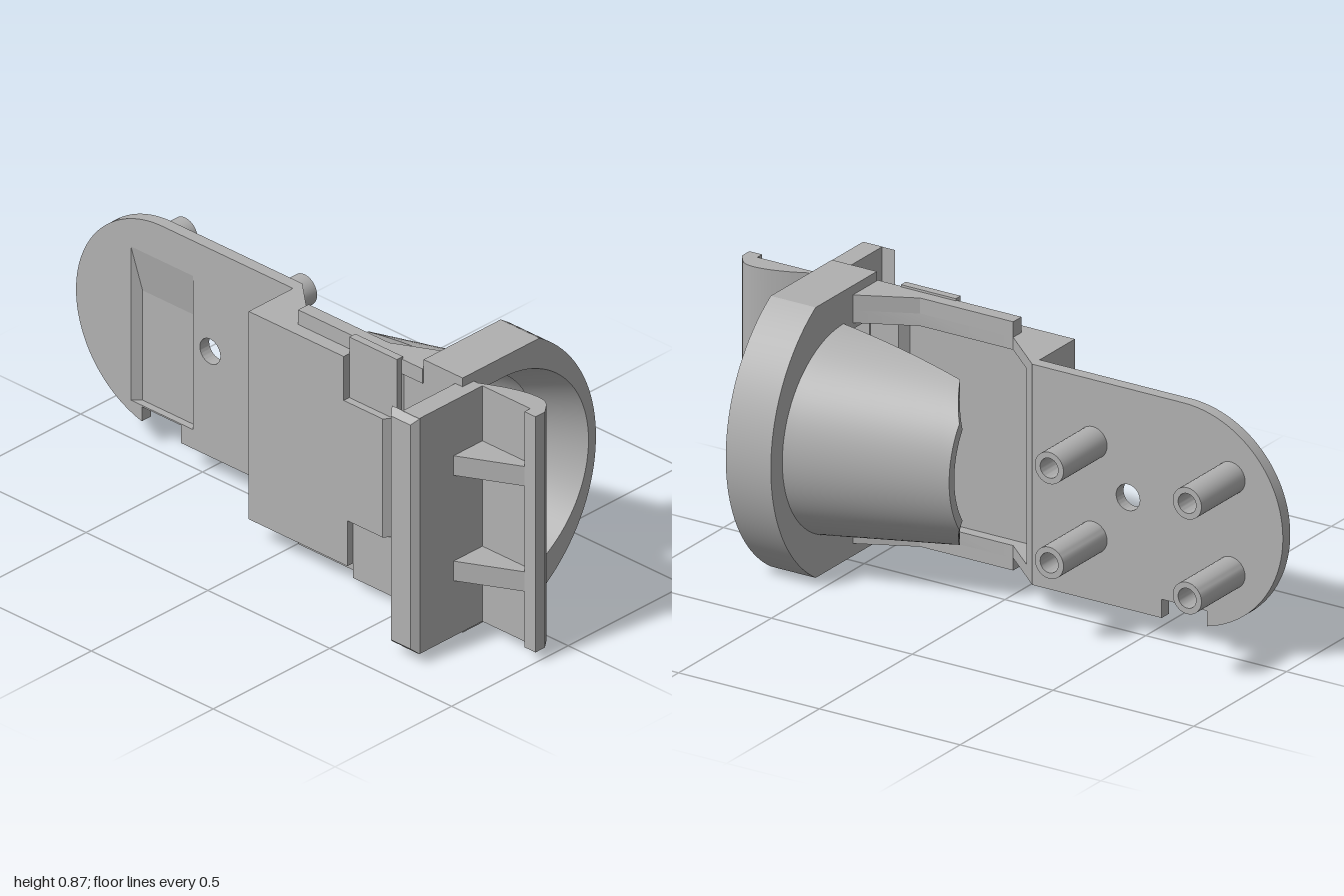
import * as THREE from 'three';
import { toCreasedNormals } from 'three/addons/utils/BufferGeometryUtils.js';

const MID = 0.435; // height of the long axis

export function createModel() {
  const model = new THREE.Group();
  model.name = 'bracket';
  const grey = new THREE.MeshStandardMaterial({ color: 0xb0b0b0, side: THREE.DoubleSide });
  grey.name = 'plain grey';

  const add = (name, geometry) => {
    const mesh = new THREE.Mesh(toCreasedNormals(geometry, 0.5), grey);
    mesh.name = name;
    model.add(mesh);
    return mesh;
  };
  const extrude = (shape, depth) =>
    new THREE.ExtrudeGeometry(shape, { depth, bevelEnabled: false, curveSegments: 40 });
  const polygon = (pts) => new THREE.Shape(pts.map(([x, y]) => new THREE.Vector2(x, y)));
  // Plan outline of [x, z] points, raised from y0 to y1
  const plan = (name, pts, y0, y1) =>
    add(name, extrude(polygon(pts.map(([x, z]) => [x, -z])), y1 - y0).rotateX(-Math.PI / 2).translate(0, y0, 0));
  const box = (name, x0, x1, y0, y1, z0, z1) =>
    add(name, new THREE.BoxGeometry(x1 - x0, y1 - y0, z1 - z0)
      .translate((x0 + x1) / 2, (y0 + y1) / 2, (z0 + z1) / 2));

  // Round-ended mounting plate in two layers, the front one with a recess
  const plateShape = () => {
    const s = new THREE.Shape();
    s.moveTo(-0.11, 0.08);
    s.lineTo(-0.11, 0.79);
    s.lineTo(-0.645, 0.79);
    s.absarc(-0.645, MID, 0.355, Math.PI / 2, 4.47, false);
    s.lineTo(-0.73, 0.14);
    s.lineTo(-0.57, 0.14);
    s.lineTo(-0.57, 0.08);
    s.closePath();
    const hole = new THREE.Path();
    hole.absarc(-0.45, 0.44, 0.042, 0, Math.PI * 2, true);
    s.holes.push(hole);
    return s;
  };
  add('plateBack', extrude(plateShape(), 0.016).translate(0, 0, -0.02));
  const front = plateShape();
  front.holes.push(new THREE.Path([
    [-0.775, 0.145], [-0.775, 0.67], [-0.52, 0.67], [-0.52, 0.145],
  ].map(([x, y]) => new THREE.Vector2(x, y))));
  add('plateFront', extrude(front, 0.024).translate(0, 0, -0.004));

  // Sloping top and sides of the recess
  add('recessRamp', extrude(polygon([[0.004, 0.52], [-0.02, 0.67], [0.004, 0.67]]), 0.255)
    .rotateY(Math.PI / 2).translate(-0.775, 0, 0));
  plan('recessSideRight', [[-0.775, 0.02], [-0.75, -0.004], [-0.775, -0.004]], 0.145, 0.67);
  plan('recessSideLeft', [[-0.52, 0.02], [-0.535, -0.004], [-0.52, -0.004]], 0.145, 0.67);

  // Hollow pegs on the back
  for (const x of [-0.815, -0.325]) {
    for (const y of [0.283, 0.588]) {
      const profile = [[0.051, 0], [0.051, 0.237], [0.032, 0.237], [0.032, 0.02], [0, 0.02]]
        .map(([r, h]) => new THREE.Vector2(r, h));
      add('peg', new THREE.LatheGeometry(profile, 32).rotateX(-Math.PI / 2).translate(x, y, -0.018));
    }
  }

  // Open-backed tray: side walls, sloped end wall and floor
  const wall = [[-0.11, -0.02], [0.05, 0.12], [0.38, 0.12], [0.56, 0.03], [0.56, 0.16],
    [0.48, 0.16], [0.455, 0.185], [-0.11, 0.185]];
  plan('trayWallLower', wall, 0.08, 0.12);
  plan('trayWallUpper', wall, 0.75, 0.79);
  plan('trayEndWall', [[-0.11, -0.02], [-0.06, 0.024], [-0.06, 0.185], [-0.11, 0.185]], 0.12, 0.75);
  plan('trayFloor', [[-0.06, 0.155], [0.44, 0.155], [0.46, 0.125], [0.6, 0.125], [0.6, 0.16],
    [0.48, 0.16], [0.455, 0.185], [-0.06, 0.185]], 0.12, 0.75);

  // Raised front face, cut away at two corner pockets
  add('trayFace', extrude(polygon([[-0.11, 0.08], [0.295, 0.08], [0.295, 0.235], [0.44, 0.235],
    [0.44, 0.64], [0.28, 0.64], [0.28, 0.79], [-0.11, 0.79]]), 0.025).translate(0, 0, 0.185));
  plan('faceChamfer', [[0.44, 0.21], [0.48, 0.16], [0.44, 0.16]], 0.235, 0.64);

  // Side rails, pocket floors and wide neck
  for (const [y0, y1] of [[0.04, 0.08], [0.79, 0.84]]) {
    box('sideRail', 0.05, 0.56, y0, y1, 0.12, 0.165);
    plan('railRise', [[0.38, 0.12], [0.56, 0.03], [0.56, 0.12]], y0, y1);
  }
  box('pocketFloorUpper', 0.28, 0.475, 0.64, 0.847, 0.16, 0.186);
  box('pocketFloorLower', 0.295, 0.475, 0.03, 0.235, 0.16, 0.186);

  // D-shaped ring whose opening narrows towards the cone
  const ring = new THREE.Shape();
  const a = Math.atan2(0.435, 0.27);
  ring.moveTo(-0.16, 0);
  ring.lineTo(0.17, 0);
  ring.absarc(-0.1, MID, 0.512, -a, a, false);
  ring.lineTo(-0.16, 0.87);
  ring.closePath();
  const opening = new THREE.Path();
  opening.moveTo(-0.12, MID - 0.365);
  opening.lineTo(0.015, MID - 0.365);
  opening.absarc(0.015, MID, 0.365, -Math.PI / 2, Math.PI / 2, false);
  opening.lineTo(-0.12, MID + 0.365);
  opening.closePath();
  ring.holes.push(opening);
  const ringGeo = extrude(ring, 0.16).rotateY(Math.PI / 2).translate(0.56, 0, 0);
  const p = ringGeo.attributes.position;
  for (let i = 0; i < p.count; i++) {
    const dy = p.getY(i) - MID, dz = Math.min(p.getZ(i) + 0.015, 0);
    if (p.getX(i) < 0.6 && p.getZ(i) < 0.13 && Math.hypot(dy, dz) < 0.37) {
      const k = 0.295 / 0.365;
      p.setY(i, MID + dy * k);
      if (dz < 0) p.setZ(i, -0.015 + dz * k);
    }
  }
  add('ring', ringGeo);

  // Tapered half-cone shell behind the ring
  const N = 40, M = 12, pos = [], idx = [];
  const ringSize = 2 * (N + 1);
  for (let j = 0; j <= M; j++) {
    for (let k = 0; k < ringSize; k++) {
      const inner = k > N;
      const s = ((inner ? ringSize - 1 - k : k) / N) * 2 - 1;
      const xEnd = 0.06 + 0.06 * Math.max(0, (Math.abs(s) - 0.6) / 0.4);
      const x = xEnd + (j / M) * (0.565 - xEnd);
      const f = (0.56 - x) / 0.5;
      const centre = -0.02 + 0.1 * f, r = 0.33 - 0.04 * f - (inner ? 0.028 : 0);
      const cut = -0.02 - 0.045 * f;
      const t = s * Math.acos((centre - cut) / r);
      pos.push(x, MID + r * Math.sin(t), centre - r * Math.cos(t));
    }
  }
  const quad = (q, b, c, d) => idx.push(q, b, c, q, c, d);
  for (let j = 0; j < M; j++) {
    for (let k = 0; k < ringSize; k++) {
      const n = (k + 1) % ringSize, o = j * ringSize;
      quad(o + k, o + ringSize + k, o + ringSize + n, o + n);
    }
  }
  for (let k = 0; k < N; k++) {
    const o = M * ringSize, q = ringSize - 1 - k;
    quad(k, k + 1, q - 1, q);
    quad(o + k, o + q, o + q - 1, o + k + 1);
  }
  // Reverse the winding so the faces look outwards
  for (let i = 0; i < idx.length; i += 3) [idx[i + 1], idx[i + 2]] = [idx[i + 2], idx[i + 1]];
  const cone = new THREE.BufferGeometry();
  cone.setAttribute('position', new THREE.Float32BufferAttribute(pos, 3));
  cone.setIndex(idx);
  add('coneShell', cone);

  // Upright flange with a bevelled hooked foot
  box('flange', 0.69, 0.758, 0.035, 0.84, 0.16, 0.386);
  box('flangeTop', 0.72, 0.758, 0.035, 0.84, 0.112, 0.16);
  const foot = new THREE.BoxGeometry(0.115, 0.805, 0.022);
  const fp = foot.attributes.position;
  for (let i = 0; i < fp.count; i++) {
    if (fp.getZ(i) > 0) {
      fp.setX(i, fp.getX(i) - Math.sign(fp.getX(i)) * 0.018);
      fp.setY(i, fp.getY(i) - Math.sign(fp.getY(i)) * 0.02);
    }
  }
  add('hookFoot', foot.translate(0.7025, 0.4375, 0.396));

  // Curved finger lip with two gussets
  const crest = new THREE.SplineCurve([[0.735, 0.112], [0.82, 0.072], [0.9, 0.05], [0.96, 0.055], [1, 0.1]]
    .map(([x, z]) => new THREE.Vector2(x, z))).getPoints(24).map((v) => [Math.min(v.x, 1), v.y]);
  plan('fingerLip', [...crest, [1, 0.14], [0.955, 0.14], [0.955, 0.115], [0.735, 0.115]], 0.035, 0.84);
  for (const y of [0.225, 0.585]) {
    plan('gusset', [[0.755, 0.113], [0.755, 0.24], [0.957, 0.138], [0.957, 0.113]], y, y + 0.067);
  }
  return model;
}
